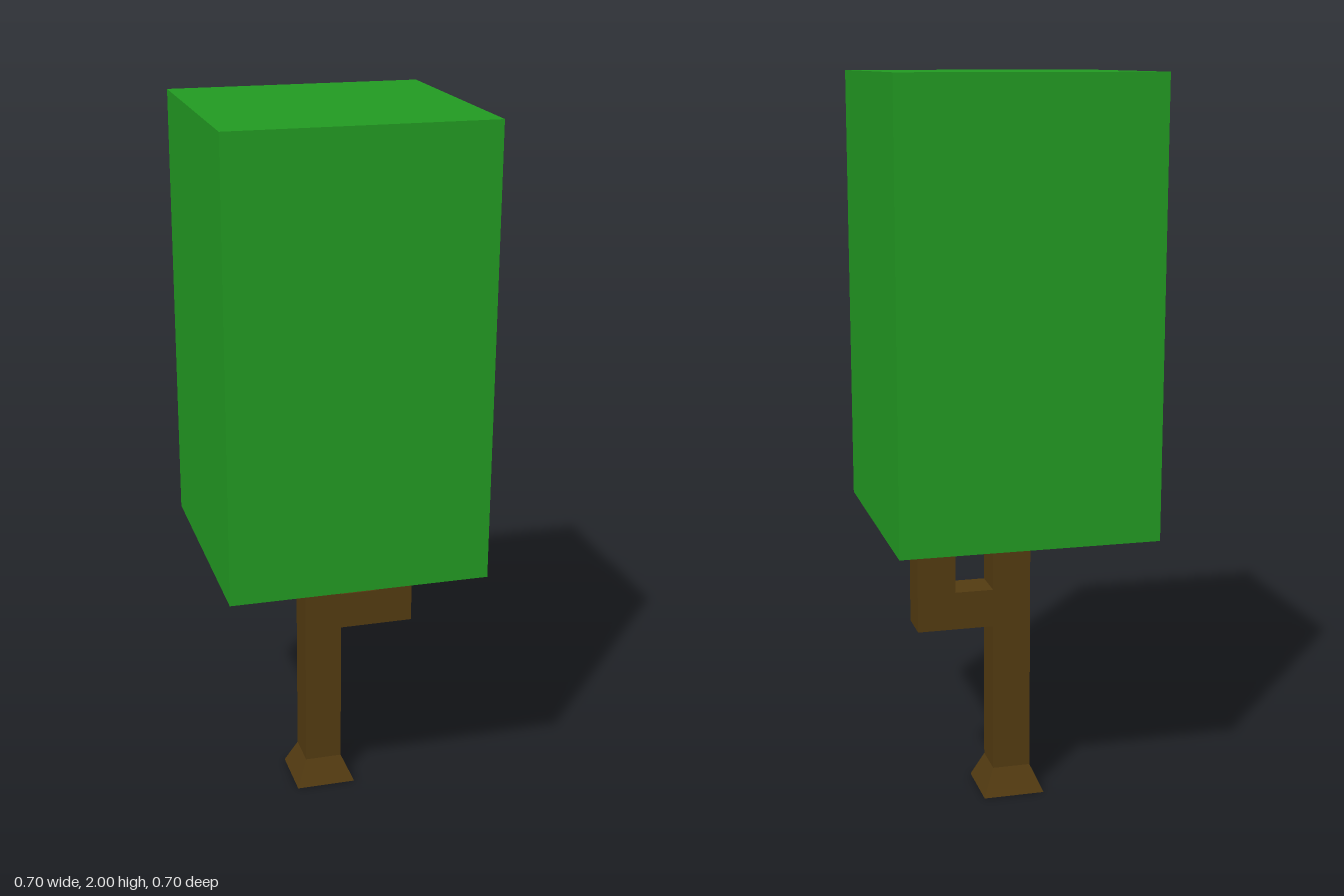
import * as THREE from 'three';

const TRUNK_X = -0.008, TRUNK_Z = -0.06;  // trunk axis
const HALF = 0.053;                       // half thickness of the wood
const FLARE_TOP = 0.075, CROWN_BASE = 0.784;

// Trunk and forked branch as one extruded outline, open where it meets the flare and crown
function trunkGeometry() {
  const left = TRUNK_X - HALF, right = TRUNK_X + HALF;
  const outline = [
    [left, FLARE_TOP], [right, FLARE_TOP], [right, 0.498], [0.257, 0.498],
    [0.257, CROWN_BASE], [0.151, CROWN_BASE], [0.151, 0.604], [right, 0.604],
    [right, CROWN_BASE], [left, CROWN_BASE],
  ];
  const shape = new THREE.Shape(outline.map(([x, y]) => new THREE.Vector2(x, y)));
  const solid = new THREE.ExtrudeGeometry(shape, { depth: HALF * 2, bevelEnabled: false });
  solid.translate(0, 0, TRUNK_Z - HALF);

  // Drop the end faces, which are level with the flare top or the crown base
  const p = solid.attributes.position;
  const kept = [];
  for (let i = 0; i < p.count; i += 3) {
    const level = (y) => [0, 1, 2].every((k) => Math.abs(p.getY(i + k) - y) < 1e-4);
    if (!level(FLARE_TOP) && !level(CROWN_BASE)) kept.push(i, i + 1, i + 2);
  }
  solid.clearGroups();
  solid.setIndex(kept);
  return solid;
}

export function createModel() {
  const group = new THREE.Group();
  group.name = 'tree';

  const leaves = new THREE.MeshStandardMaterial({ color: 0x229a22, flatShading: true });
  leaves.name = 'leaf green';
  const bark = new THREE.MeshStandardMaterial({ color: 0x533b11, flatShading: true, side: THREE.DoubleSide });
  bark.name = 'bark brown';

  const add = (name, geometry, material, x, y, z) => {
    const mesh = new THREE.Mesh(geometry, material);
    mesh.name = name;
    mesh.position.set(x, y, z);
    group.add(mesh);
  };

  // Block of foliage
  const crownHeight = 2 - CROWN_BASE;
  add('crown', new THREE.BoxGeometry(0.704, crownHeight, 0.704), leaves, 0, CROWN_BASE + crownHeight / 2, 0);

  // Trunk with side branch
  add('trunkAndBranch', trunkGeometry(), bark, 0, 0, 0);

  // Hollow four-sided root flare
  const flare = new THREE.CylinderGeometry(HALF * Math.SQRT2, 0.086 * Math.SQRT2, FLARE_TOP, 4, 1, true);
  flare.rotateY(Math.PI / 4);
  add('rootFlare', flare, bark, TRUNK_X, FLARE_TOP / 2, TRUNK_Z);

  return group;
}
